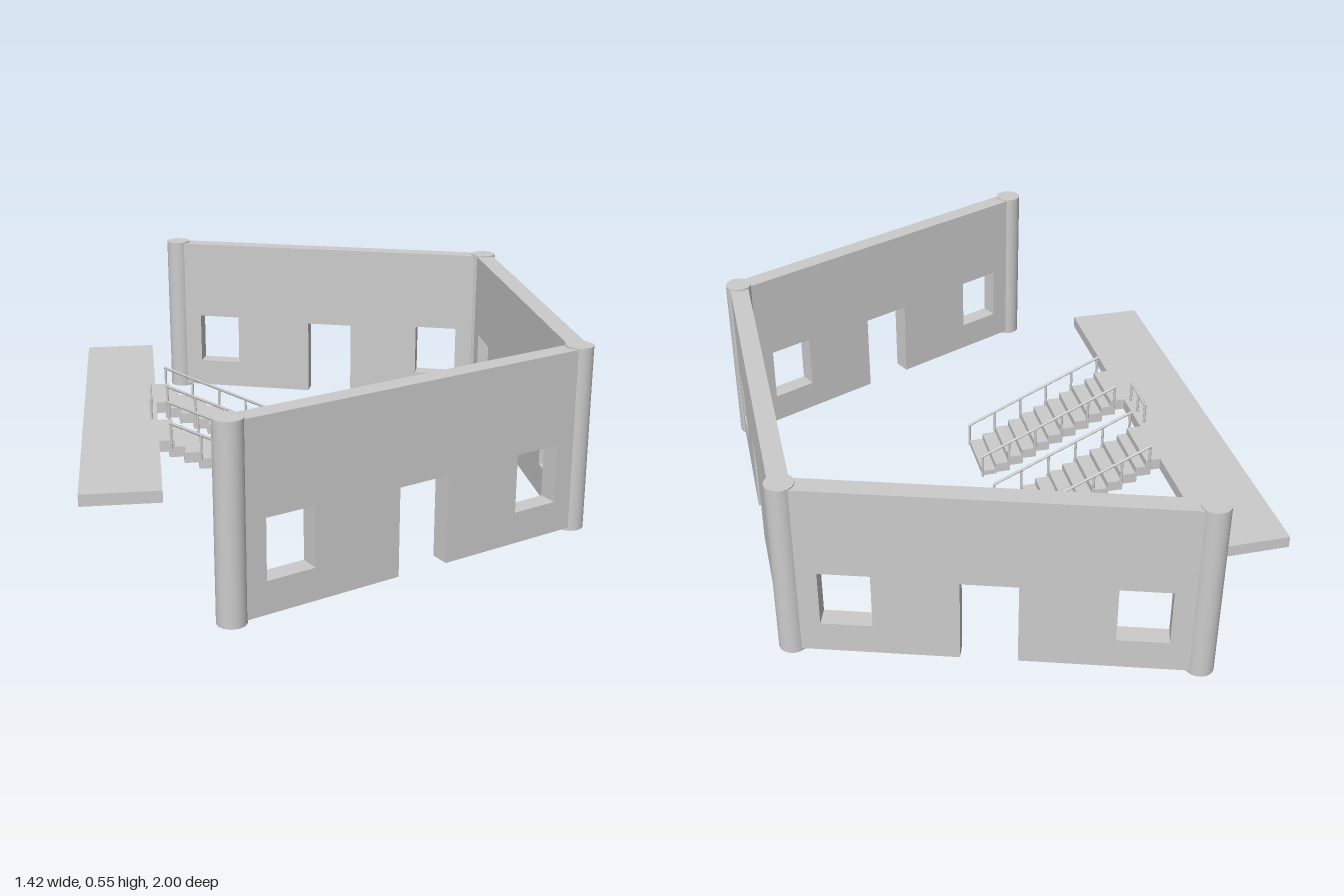
import * as THREE from 'three';

const mat = new THREE.MeshStandardMaterial({ color: 0xcccccc });

function add(parent, geo, name, x = 0, y = 0, z = 0) {
  const m = new THREE.Mesh(geo, mat);
  m.name = name;
  m.position.set(x, y, z);
  parent.add(m);
  return m;
}

// box given by its minimum and maximum corners
function block(parent, name, [x0, y0, z0], [x1, y1, z1]) {
  return add(parent, new THREE.BoxGeometry(x1 - x0, y1 - y0, z1 - z0), name,
    (x0 + x1) / 2, (y0 + y1) / 2, (z0 + z1) / 2);
}

// round bar between two points
function bar(parent, name, a, b, r) {
  const from = new THREE.Vector3(...a), to = new THREE.Vector3(...b);
  const dir = to.clone().sub(from);
  const m = add(parent, new THREE.CylinderGeometry(r, r, dir.length(), 10), name);
  m.position.copy(from).add(to).multiplyScalar(0.5);
  m.quaternion.setFromUnitVectors(new THREE.Vector3(0, 1, 0), dir.normalize());
}

// wall panel with a doorway and two windows, running between two column centres
function wall(parent, name, [ax, az], [bx, bz]) {
  const dx = bx - ax, dz = bz - az, h = Math.hypot(dx, dz) / 2;
  const base = 0.015, top = 0.546, door = 0.012, half = 0.078, thick = 0.056;
  const shape = new THREE.Shape([
    [-h, base], [door - half, base], [door - half, 0.27], [door + half, 0.27],
    [door + half, base], [h, base], [h, top], [-h, top],
  ].map(p => new THREE.Vector2(...p)));
  for (const c of [-0.397, 0.397]) {
    shape.holes.push(new THREE.Path([
      [c - 0.071, 0.108], [c - 0.071, 0.279], [c + 0.071, 0.279], [c + 0.071, 0.108],
    ].map(p => new THREE.Vector2(...p))));
  }
  const geo = new THREE.ExtrudeGeometry(shape, { depth: thick, bevelEnabled: false });
  geo.translate(0, 0, -thick / 2);
  const m = add(parent, geo, name, (ax + bx) / 2, 0, (az + bz) / 2);
  m.rotation.y = Math.atan2(-dz, dx);
}

// flight of steps descending toward +x, with a handrail on each side
function staircase(name, z0, z1) {
  const g = new THREE.Group();
  g.name = name;
  const run = 0.0436, rise = 0.0205, deck = 0.222, start = -0.462, count = 10;
  block(g, 'topStep', [-0.492, 0.187, z0], [-0.445, deck, z1]);
  for (let i = 1; i <= count; i++) {
    const x = start + (i - 1) * run, y = deck - i * rise;
    block(g, 'step', [x, Math.max(0, y - 0.032), z0], [x + run + 0.004, y, z1]);
  }
  const railY = x => 0.275 - (x + 0.455) * 0.46;
  for (const z of [z0 - 0.003, z1 + 0.003]) {
    for (let i = 0; i < 6; i++) {
      const x = -0.455 + i * 0.0865;
      bar(g, 'railPost', [x, railY(x) - 0.078, z], [x, railY(x), z], 0.004);
    }
    bar(g, 'handrail', [-0.459, railY(-0.459), z], [-0.018, railY(-0.018), z], 0.0045);
  }
  return g;
}

export function createModel() {
  const model = new THREE.Group();
  model.name = 'walledCourtyard';

  // corner columns, from the back end round to the front end
  const corners = [[-0.38, -0.96], [0.671, -0.614], [0.671, 0.497], [-0.335, 0.96]];
  for (const [x, z] of corners) {
    add(model, new THREE.CylinderGeometry(0.04, 0.04, 0.544, 32), 'column', x, 0.278, z);
  }

  // three wall panels
  wall(model, 'backWall', corners[0], corners[1]);
  wall(model, 'sideWall', corners[1], corners[2]);
  wall(model, 'frontWall', corners[3], corners[2]);

  // raised walkway with two flights of steps
  block(model, 'walkway', [-0.714, 0.187, -0.743], [-0.49, 0.222, 0.607]);
  model.add(staircase('backStairs', -0.297, -0.113));
  model.add(staircase('frontStairs', 0.048, 0.23));

  // guard rail on the walkway between the stairs
  const guard = new THREE.Group();
  guard.name = 'guardRail';
  for (const z of [-0.095, -0.03, 0.035]) {
    bar(guard, 'guardPost', [-0.508, 0.215, z], [-0.508, 0.285, z], 0.004);
  }
  bar(guard, 'guardTopRail', [-0.508, 0.285, -0.1], [-0.508, 0.285, 0.04], 0.0045);
  model.add(guard);

  return model;
}
